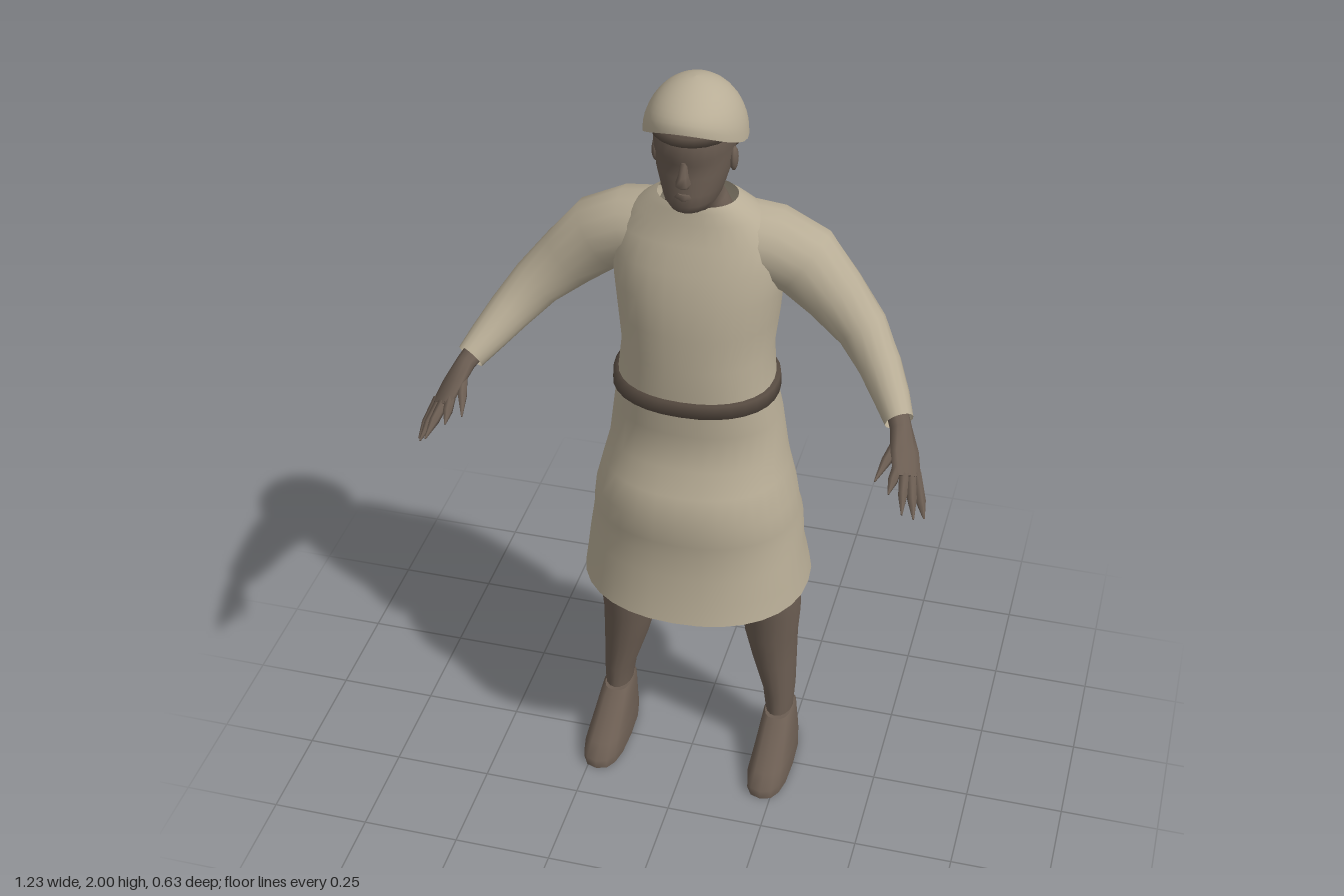
import * as THREE from 'three';

const mat = (name, color) => new THREE.MeshStandardMaterial({ name, color, side: THREE.DoubleSide });

// Skin a list of equal-sized point rings; optionally close the first and last ring.
function skin(rings, capStart = false, capEnd = false) {
  const n = rings[0].length, pos = [], idx = [];
  rings.forEach(r => r.forEach(p => pos.push(p.x, p.y, p.z)));
  for (let i = 0; i < rings.length - 1; i++) {
    for (let j = 0; j < n; j++) {
      const a = i * n + j, b = i * n + (j + 1) % n;
      idx.push(a, a + n, b, b, a + n, b + n);
    }
  }
  const cap = (ring, flip) => {
    const base = pos.length / 3;
    const c = ring.reduce((s, p) => s.add(p), new THREE.Vector3()).divideScalar(n);
    [...ring, c].forEach(p => pos.push(p.x, p.y, p.z));
    for (let j = 0; j < n; j++) {
      const a = base + j, b = base + (j + 1) % n;
      idx.push(...(flip ? [a, b, base + n] : [b, a, base + n]));
    }
  };
  if (capStart) cap(rings[0], true);
  if (capEnd) cap(rings[rings.length - 1], false);
  const g = new THREE.BufferGeometry();
  g.setAttribute('position', new THREE.Float32BufferAttribute(pos, 3));
  g.setIndex(idx);
  g.computeVertexNormals();
  return g;
}

// Horizontal layers from bottom to top: [y, half width, front z, back z, centre x]
function layers(rows, n, power = 2, caps = [false, false]) {
  const bend = v => Math.sign(v) * Math.pow(Math.abs(v), 2 / power);
  return skin(rows.map(([y, rx, zf, zb, cx = 0]) => Array.from({ length: n }, (_, j) => {
    const t = j / n * Math.PI * 2;
    return new THREE.Vector3(cx + rx * bend(Math.cos(t)), y,
      (zf + zb) / 2 + (zf - zb) / 2 * bend(Math.sin(t)));
  })), ...caps);
}

// Limb along a path: rows [x, y, z, radius along ref, radius across]; s mirrors x
function limb(rows, s, n, ref = [0, 1, 0], caps = [true, true]) {
  const pts = rows.map(r => new THREE.Vector3(r[0] * s, r[1], r[2]));
  const axis = new THREE.Vector3(ref[0] * s, ref[1], ref[2]);
  return skin(pts.map((c, i) => {
    const d = pts[Math.min(i + 1, pts.length - 1)].clone().sub(pts[Math.max(i - 1, 0)]).normalize();
    const u = axis.clone().addScaledVector(d, -d.dot(axis)).normalize();
    const v = u.clone().cross(d);
    return Array.from({ length: n }, (_, j) => {
      const t = j / n * Math.PI * 2;
      return c.clone().addScaledVector(u, rows[i][3] * Math.cos(t))
        .addScaledVector(v, (rows[i][4] ?? rows[i][3]) * Math.sin(t));
    });
  }), ...caps);
}

export function createModel() {
  const model = new THREE.Group();
  const cloth = mat('undyed cloth', 0xb8ad96);
  const flesh = mat('skin', 0x6b5d52);
  const leather = mat('belt leather', 0x584c42);
  const add = (name, geometry, material, parent = model) => {
    const m = new THREE.Mesh(geometry, material);
    m.name = name;
    parent.add(m);
    return m;
  };

  // Tunic, from open hem to collar
  add('tunic', layers([
    [0.585, 0.29, 0.185, -0.315], [0.64, 0.282, 0.172, -0.295], [0.71, 0.272, 0.16, -0.265],
    [0.77, 0.265, 0.155, -0.288], [0.81, 0.26, 0.157, -0.265], [0.87, 0.252, 0.16, -0.258],
    [0.95, 0.232, 0.145, -0.247], [1.0, 0.221, 0.1, -0.232], [1.1, 0.208, 0.095, -0.22],
    [1.19, 0.193, 0.105, -0.2], [1.29, 0.184, 0.1, -0.22], [1.38, 0.194, 0.1, -0.235],
    [1.46, 0.202, 0.09, -0.215], [1.54, 0.208, 0.072, -0.207], [1.6, 0.195, 0.045, -0.19],
    [1.65, 0.15, 0.03, -0.165], [1.68, 0.115, 0.025, -0.14], [1.695, 0.095, 0.02, -0.125],
  ], 32, 2.2), cloth);

  // Belt
  add('belt', layers([
    [1.172, 0.185, 0.095, -0.195], [1.172, 0.205, 0.117, -0.212],
    [1.207, 0.203, 0.115, -0.212], [1.207, 0.185, 0.095, -0.195],
  ], 32, 2.2), leather);

  // Head and neck
  const head = new THREE.Group();
  head.name = 'head';
  model.add(head);
  add('face and neck', layers([
    [1.62, 0.095, 0.0, -0.14], [1.665, 0.078, 0.012, -0.125], [1.695, 0.066, 0.03, -0.12],
    [1.708, 0.056, 0.072, -0.117], [1.73, 0.066, 0.085, -0.117], [1.755, 0.074, 0.082, -0.12],
    [1.8, 0.087, 0.08, -0.13], [1.83, 0.09, 0.076, -0.14], [1.85, 0.093, 0.087, -0.145],
    [1.89, 0.097, 0.083, -0.15], [1.93, 0.09, 0.065, -0.135], [1.965, 0.05, 0.02, -0.09],
  ], 24, 2.1, [false, true]), flesh, head);
  add('nose', layers([
    [1.778, 0.016, 0.09, 0.05], [1.79, 0.018, 0.108, 0.05],
    [1.81, 0.012, 0.1, 0.05], [1.843, 0.008, 0.086, 0.05],
  ], 8, 2, [true, true]), flesh, head);
  add('lips', layers([
    [1.745, 0.012, 0.084, 0.05], [1.752, 0.024, 0.09, 0.05], [1.762, 0.018, 0.086, 0.05],
  ], 10, 2, [true, true]), flesh, head);
  for (const s of [1, -1]) {
    const ear = add(s > 0 ? 'leftEar' : 'rightEar', new THREE.SphereGeometry(1, 10, 8), flesh, head);
    ear.scale.set(0.01, 0.03, 0.018);
    ear.position.set(0.091 * s, 1.81, -0.025);
  }
  add('hair', layers([
    [1.79, 0.05, -0.07, -0.135], [1.81, 0.085, -0.04, -0.153],
    [1.845, 0.095, -0.03, -0.16], [1.875, 0.1, -0.03, -0.155],
  ], 20, 2, [true, false]), flesh, head);
  add('headband', layers([
    [1.885, 0.09, 0.07, -0.14], [1.885, 0.102, 0.09, -0.153],
    [1.905, 0.102, 0.087, -0.153], [1.905, 0.09, 0.07, -0.14],
  ], 24), leather, head);

  // Cap: a dome whose rim rises toward the forehead
  const dome = new THREE.SphereGeometry(1, 32, 10, 0, Math.PI * 2, 0, Math.PI / 2);
  const p = dome.attributes.position;
  for (let i = 0; i < p.count; i++) {
    const x = p.getX(i), y = p.getY(i), z = p.getZ(i);
    const rim = 1.86 + 0.06 * Math.pow(Math.max(0, z), 1.5);
    p.setXYZ(i, x * 0.12, rim + (2 - rim) * y, -0.033 + z * 0.13);
  }
  dome.computeVertexNormals();
  add('cap', dome, cloth, head);

  for (const s of [1, -1]) {
    const side = s > 0 ? 'left' : 'right';

    // Sleeve
    add(side + 'Sleeve', limb([
      [0.08, 1.575, -0.085, 0.09, 0.1], [0.17, 1.562, -0.09, 0.092, 0.1],
      [0.25, 1.525, -0.09, 0.092, 0.09], [0.325, 1.455, -0.075, 0.078, 0.072],
      [0.4, 1.385, -0.048, 0.065, 0.06], [0.455, 1.325, 0.005, 0.056, 0.05],
      [0.495, 1.28, 0.06, 0.046, 0.042], [0.522, 1.25, 0.105, 0.038, 0.034],
    ], s, 16, [0, 1, 0], [false, false]), cloth);

    // Hand with pointed fingers
    const hand = new THREE.Group();
    hand.name = side + 'Hand';
    model.add(hand);
    const across = [0.08, -0.07, -0.02];
    add('palm', limb([
      [0.505, 1.27, 0.07, 0.028, 0.026], [0.53, 1.24, 0.12, 0.028, 0.023],
      [0.548, 1.207, 0.165, 0.042, 0.02], [0.565, 1.172, 0.21, 0.042, 0.014],
    ], s, 10, across), flesh, hand);
    [[0.54, 1.195, 0.21, 0.533, 1.165, 0.275], [0.557, 1.182, 0.213, 0.572, 1.14, 0.31],
      [0.573, 1.167, 0.208, 0.596, 1.112, 0.285], [0.588, 1.152, 0.2, 0.615, 1.087, 0.245],
      [0.528, 1.225, 0.15, 0.497, 1.18, 0.255]].forEach(([x, y, z, a, b, c], i) =>
      add(i < 4 ? 'finger' + (i + 1) : 'thumb', limb([
        [x - (a - x) * 0.3, y - (b - y) * 0.3, z - (c - z) * 0.3, 0.013],
        [(x + a) / 2, (y + b) / 2, (z + c) / 2, 0.012], [a, b, c, 0.002],
      ], s, 6), flesh, hand));

    // Leg, tapering to the ankle
    add(side + 'Leg', layers([
      [0.138, 0.036, -0.02, -0.133, 0.222 * s], [0.2, 0.042, -0.02, -0.143, 0.219 * s],
      [0.3, 0.058, -0.017, -0.16, 0.203 * s], [0.39, 0.07, -0.012, -0.166, 0.192 * s],
      [0.47, 0.077, -0.006, -0.166, 0.191 * s], [0.58, 0.076, 0.003, -0.163, 0.186 * s],
      [0.75, 0.085, 0.025, -0.17, 0.15 * s], [0.95, 0.095, 0.05, -0.17, 0.105 * s],
    ], 16, 2, [true, true]), flesh);

    // Wedge-shaped foot
    add(side + 'Foot', layers([
      [0.0, 0.055, 0.155, -0.15, 0.225 * s], [0.025, 0.055, 0.155, -0.15, 0.225 * s],
      [0.05, 0.051, 0.115, -0.15, 0.225 * s], [0.085, 0.046, 0.055, -0.148, 0.224 * s],
      [0.12, 0.041, 0.005, -0.145, 0.223 * s], [0.132, 0.035, -0.015, -0.135, 0.222 * s],
    ], 16, 2.7, [true, true]), flesh);
  }
  return model;
}
